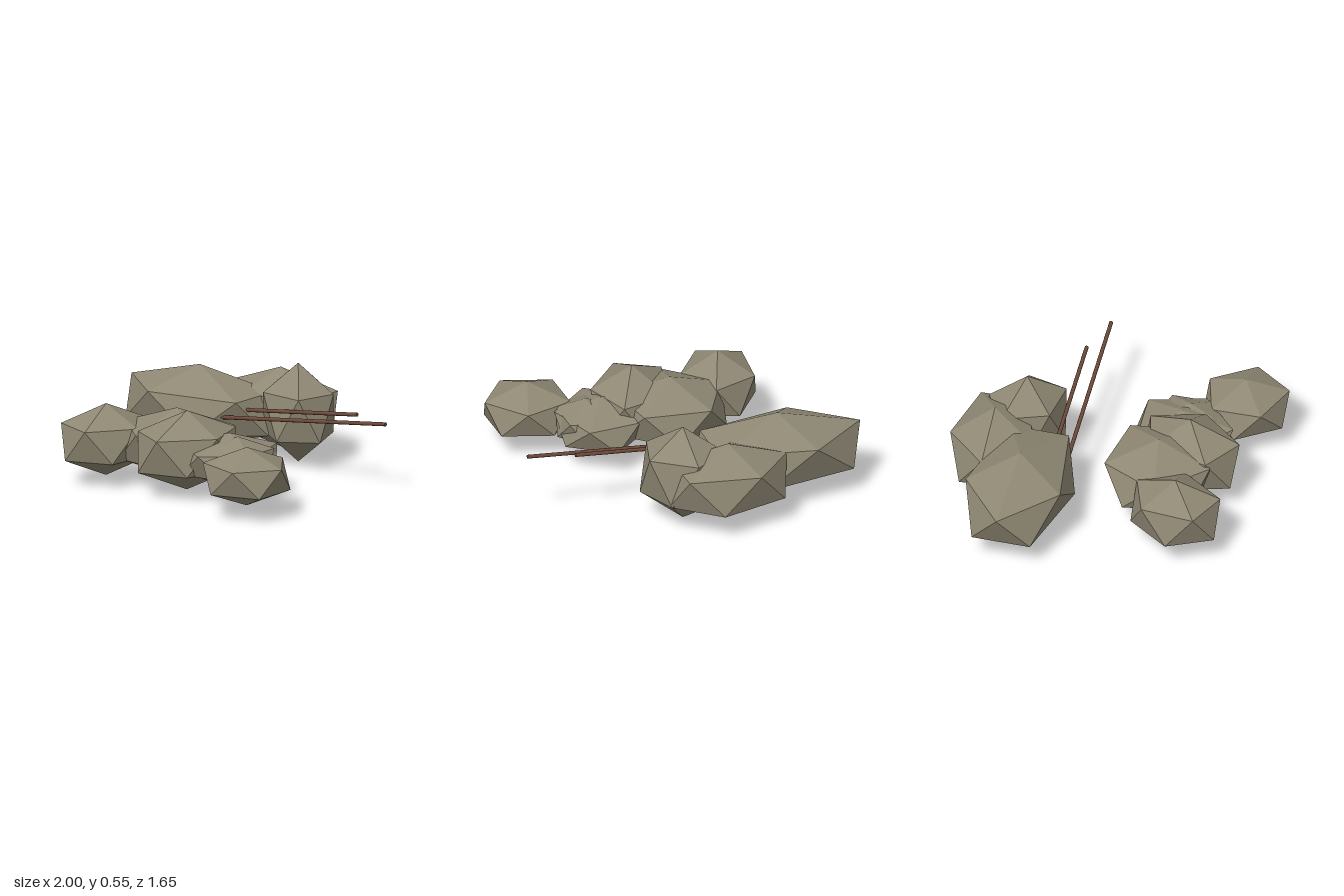
import * as THREE from 'three';

// Boulder: a stretched icosahedron standing on its pole.
// centre [x, y, z], half height, and two ground axes u, v as [x, z].
function boulderGeometry([cx, cy, cz], halfHeight, u, v) {
  const ringY = halfHeight * 0.447;
  const upper = [];
  for (let k = 0; k < 5; k++) {
    const a = k * Math.PI * 0.4;
    const c = Math.cos(a), s = Math.sin(a);
    upper.push([u[0] * c + v[0] * s, ringY, u[1] * c + v[1] * s]);
  }
  // The lower ring mirrors the upper ring through the centre
  const lower = upper.map((_, k) => upper[(k + 3) % 5].map((n) => -n));
  const top = [0, halfHeight, 0], bottom = [0, -halfHeight, 0];
  const corners = [];
  for (let k = 0; k < 5; k++) {
    const n = (k + 1) % 5;
    corners.push(
      top, upper[n], upper[k],
      upper[k], upper[n], lower[k],
      upper[n], lower[n], lower[k],
      bottom, lower[k], lower[n]
    );
  }
  const geometry = new THREE.BufferGeometry();
  geometry.setAttribute('position', new THREE.Float32BufferAttribute(corners.flat(), 3));
  geometry.computeVertexNormals();
  return geometry.translate(cx, cy, cz);
}

// Straight stick between two points
function stickGeometry(from, to, radius) {
  return new THREE.TubeGeometry(new THREE.LineCurve3(from, to), 1, radius, 8, false);
}

export function createModel() {
  const model = new THREE.Group();
  const stone = new THREE.MeshStandardMaterial({ color: 0x8f8874 });
  stone.name = 'stone';
  const wood = new THREE.MeshStandardMaterial({ color: 0x6e4a3a });
  wood.name = 'wood';

  const add = (name, geometry, material, parent = model) => {
    const mesh = new THREE.Mesh(geometry, material);
    mesh.name = name;
    parent.add(mesh);
  };

  // Boulders: name, centre, half height, axis u, axis v
  const boulders = [
    ['longBoulder', [-0.54, 0.255, -0.25], 0.225, [-0.46, 0.12], [-0.07, -0.27]],
    ['backBoulder', [-0.25, 0.253, -0.58], 0.222, [-0.327, 0.107], [-0.072, -0.225]],
    ['tallBoulder', [-0.01, 0.28, -0.52], 0.275, [-0.232, -0.024], [0, -0.2]],
    ['frontRightBoulder', [-0.28, 0.24, 0.57], 0.2, [-0.195, -0.1], [0.09, -0.237]],
    ['middleBoulder', [0, 0.24, 0.3], 0.193, [-0.286, 0.137], [-0.128, -0.273]],
    ['frontBoulder', [0.2, 0.25, 0.38], 0.22, [0.226, -0.037], [0.01, 0.288]],
    ['lowBoulder', [0.38, 0.215, 0.23], 0.145, [0.25, 0], [0, 0.28]],
    ['innerBoulder', [0.46, 0.225, 0.23], 0.13, [0.16, 0.05], [-0.05, 0.2]],
    ['leftBoulder', [0.765, 0.222, 0.395], 0.162, [0.235, -0.062], [0.065, 0.225]],
  ];
  for (const [name, centre, halfHeight, u, v] of boulders) {
    add(name, boulderGeometry(centre, halfHeight, u, v), stone);
  }

  // Two parallel sticks poking out from under the long boulder
  for (const [i, endX] of [0.57, 0.83].entries()) {
    const stick = new THREE.Group();
    stick.name = i ? 'longStick' : 'shortStick';
    const from = new THREE.Vector3(endX - 1.08, 0.262, -0.135);
    const to = new THREE.Vector3(endX, 0.39, -0.49);
    add('shaft', stickGeometry(from, to, 0.011), wood, stick);
    // End caps
    const along = to.clone().sub(from).normalize();
    for (const [point, sign] of [[from, -1], [to, 1]]) {
      const cap = new THREE.CircleGeometry(0.011, 8);
      const facing = along.clone().multiplyScalar(sign);
      cap.applyQuaternion(new THREE.Quaternion().setFromUnitVectors(new THREE.Vector3(0, 0, 1), facing));
      add('endCap', cap.translate(point.x, point.y, point.z), wood, stick);
    }
    model.add(stick);
  }

  return model;
}
